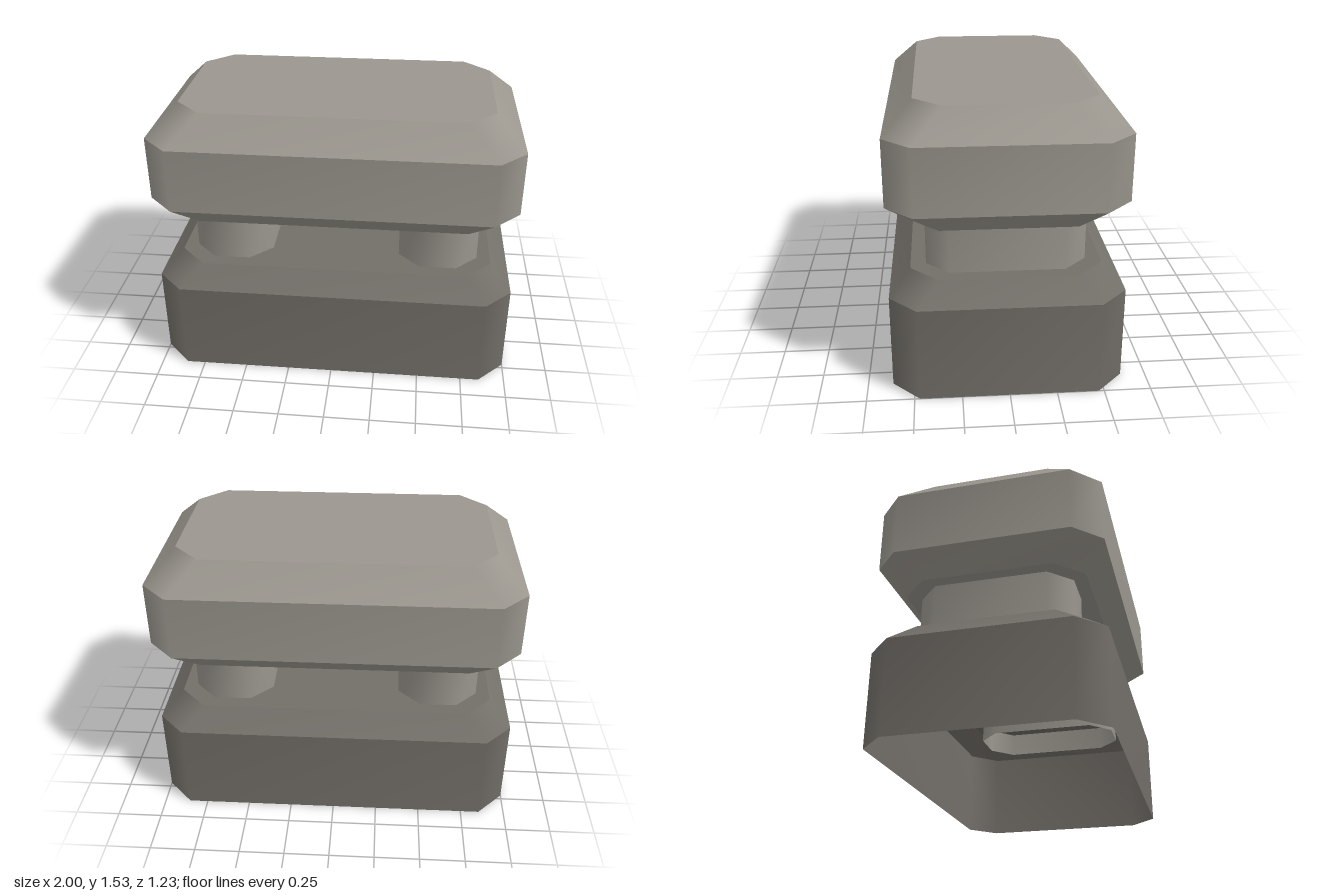
import * as THREE from 'three';

const lightStone = new THREE.MeshStandardMaterial({ color: 0x9b978f, side: THREE.DoubleSide });
lightStone.name = 'light stone';
const darkStone = new THREE.MeshStandardMaterial({ color: 0x736f69, side: THREE.DoubleSide });
darkStone.name = 'dark stone';

// Corners of a rectangle with cut corners, counter-clockwise seen from above
function octagon(hx, hz, cut) {
  const a = hx - cut, b = hz - cut;
  return [[hx, b], [hx, -b], [a, -hz], [-a, -hz], [-hx, -b], [-hx, b], [-a, hz], [a, hz]];
}

// Stacks octagonal rings [y, halfX, halfZ]; each band is smooth around, with sharp edges between bands
function octagonStack(rings, cut, capTop, capBottom) {
  const positions = [], normals = [];
  const add = (points, faces) => {
    const band = new THREE.BufferGeometry();
    band.setAttribute('position', new THREE.Float32BufferAttribute(points, 3));
    band.setIndex(faces);
    band.computeVertexNormals();
    const flat = band.toNonIndexed();
    positions.push(...flat.attributes.position.array);
    normals.push(...flat.attributes.normal.array);
  };
  const loops = rings.map(([y, hx, hz]) => octagon(hx, hz, cut).map(([x, z]) => [x, y, z]));
  for (let r = 0; r < loops.length - 1; r++) {
    const faces = [];
    for (let i = 0; i < 8; i++) {
      const j = (i + 1) % 8;
      faces.push(i, j, j + 8, i, j + 8, i + 8);
    }
    add([...loops[r], ...loops[r + 1]].flat(), faces);
  }
  const up = [], down = [];
  for (let i = 1; i < 7; i++) {
    up.push(0, i, i + 1);
    down.push(0, i + 1, i);
  }
  if (capTop) add(loops[loops.length - 1].flat(), up);
  if (capBottom) add(loops[0].flat(), down);
  const geometry = new THREE.BufferGeometry();
  geometry.setAttribute('position', new THREE.Float32BufferAttribute(positions, 3));
  geometry.setAttribute('normal', new THREE.Float32BufferAttribute(normals, 3));
  return geometry;
}

export function createModel() {
  const group = new THREE.Group();
  const part = (name, geometry, material, x = 0) => {
    const mesh = new THREE.Mesh(geometry, material);
    mesh.name = name;
    mesh.position.x = x;
    group.add(mesh);
  };

  // Hollow base, open underneath
  part('base', octagonStack([
    [0, 1, 0.617], [0.52, 1, 0.617], [0.632, 0.885, 0.505],
  ], 0.145, true, false), darkStone);

  // Upper block, bevelled above and below
  part('upperBlock', octagonStack([
    [0.904, 0.88, 0.497], [1.024, 1, 0.617], [1.38, 1, 0.617], [1.534, 0.845, 0.465],
  ], 0.145, true, true), lightStone);

  // Open tubular posts that pass through the base top
  const post = octagonStack([[0.49, 0.222, 0.424], [1.0, 0.222, 0.424]], 0.12, false, false);
  part('leftPost', post, lightStone, 0.587);
  part('rightPost', post, lightStone, -0.587);

  return group;
}
